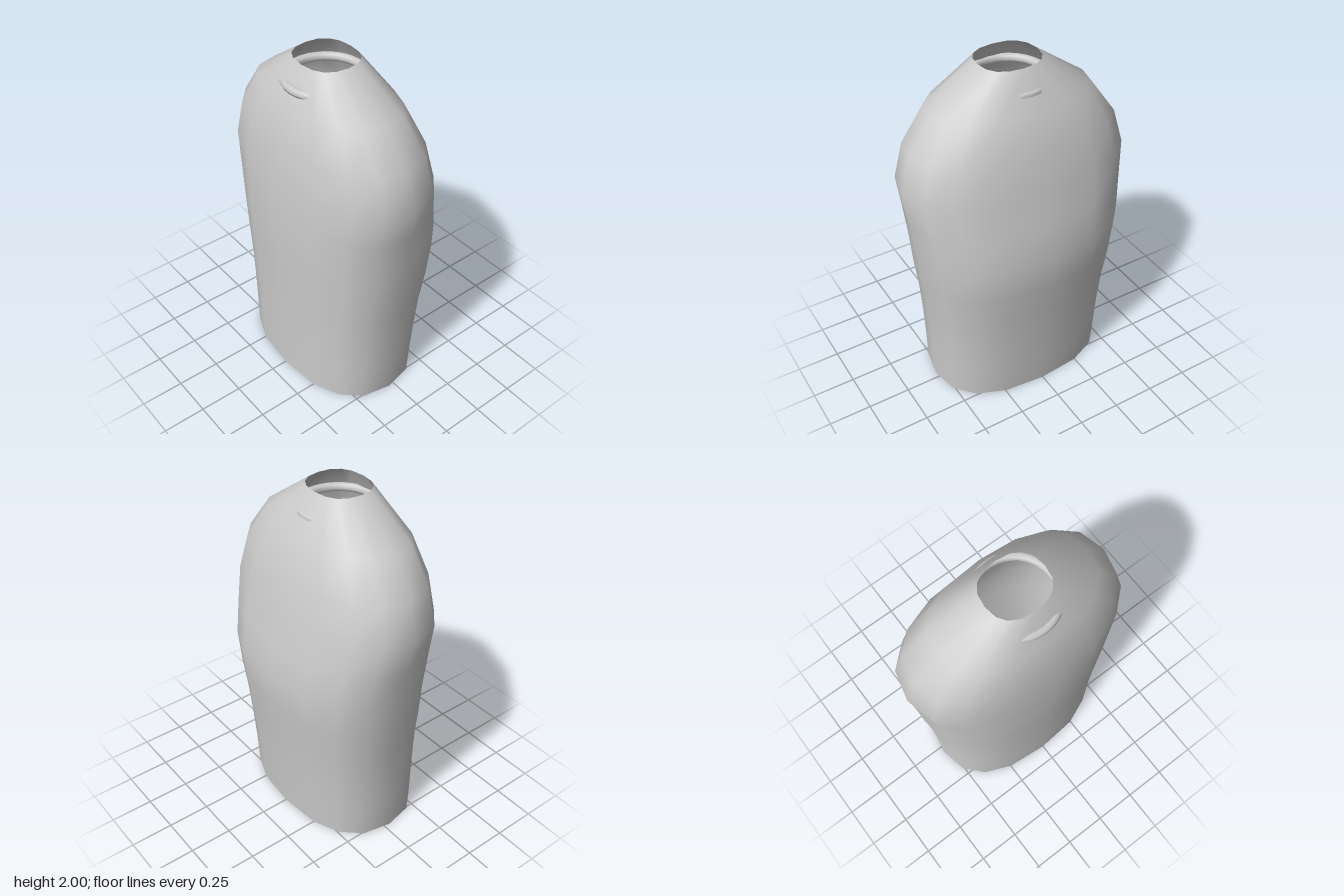
import * as THREE from 'three';

// Torso cross-sections: [height, half width, back z, front z]
const SECTIONS = [
  [0.0, 0.543, -0.333, 0.403],
  [0.2, 0.549, -0.346, 0.404],
  [0.4, 0.558, -0.361, 0.405],
  [0.6, 0.572, -0.380, 0.409],
  [0.8, 0.597, -0.403, 0.414],
  [1.0, 0.614, -0.419, 0.419],
  [1.2, 0.635, -0.382, 0.413],
  [1.4, 0.661, -0.337, 0.403],
  [1.6, 0.606, -0.296, 0.378],
  [1.8, 0.463, -0.220, 0.332],
  [2.0, 0.175, -0.090, 0.225],
];
const SIDES = 16;

// Slightly squared ellipse
const squarish = (v) => Math.sign(v) * Math.pow(Math.abs(v), 0.82);

// Open shell lofted through the cross-sections
function torsoGeometry() {
  const positions = [];
  const indices = [];
  SECTIONS.forEach(([y, halfWidth, back, front], row) => {
    const midZ = (front + back) / 2;
    const halfDepth = (front - back) / 2;
    for (let i = 0; i < SIDES; i++) {
      const a = (i / SIDES) * Math.PI * 2;
      positions.push(halfWidth * squarish(Math.sin(a)), y, midZ + halfDepth * squarish(Math.cos(a)));
      if (row === 0) continue;
      const next = (i + 1) % SIDES;
      const low = (row - 1) * SIDES;
      const high = row * SIDES;
      indices.push(low + i, low + next, high + next, low + i, high + next, high + i);
    }
  });
  const geometry = new THREE.BufferGeometry();
  geometry.setAttribute('position', new THREE.Float32BufferAttribute(positions, 3));
  geometry.setIndex(indices);
  geometry.computeVertexNormals();
  return geometry;
}

export function createModel() {
  const group = new THREE.Group();
  group.name = 'torso';
  const material = new THREE.MeshStandardMaterial({ color: 0xcccccc, side: THREE.DoubleSide });

  // Body shell, open at the neck and waist
  const shell = new THREE.Mesh(torsoGeometry(), material);
  shell.name = 'bodyShell';
  group.add(shell);

  // Neck ring, breaking through the shell at front and back
  const ring = new THREE.Mesh(new THREE.TorusGeometry(0.215, 0.025, 8, 32), material);
  ring.name = 'neckRing';
  ring.rotation.x = Math.PI / 2;
  ring.position.set(0, 1.88, 0.07);
  group.add(ring);

  return group;
}
